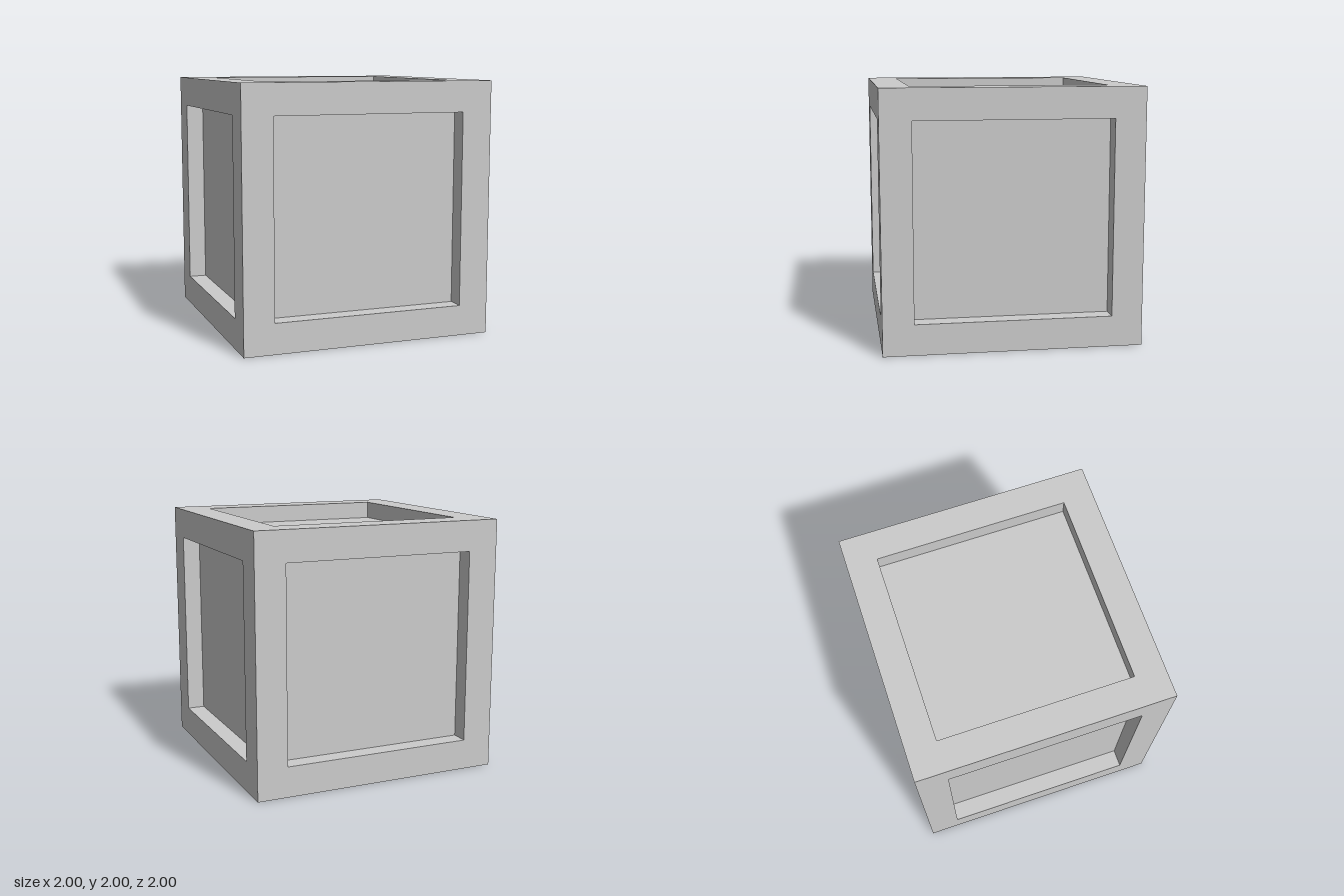
import * as THREE from 'three';
import { mergeGeometries } from 'three/addons/utils/BufferGeometryUtils.js';

const HALF = 1;        // half the cube's edge
const OPENING = 0.76;  // half the width of each recess
const DEPTH = 0.14;    // depth of each recess

function square(PathType, h) {
  return new PathType([[-h, -h], [h, -h], [h, h], [-h, h]].map(([x, y]) => new THREE.Vector2(x, y)));
}

// Square rim facing +z with four walls running in to the panel
function rimGeometry() {
  const face = square(THREE.Shape, HALF);
  face.holes.push(square(THREE.Path, OPENING));
  const parts = [new THREE.ShapeGeometry(face).translate(0, 0, HALF)];
  for (let i = 0; i < 4; i++) {
    parts.push(new THREE.PlaneGeometry(2 * OPENING, DEPTH)
      .rotateX(-Math.PI / 2)
      .translate(0, -OPENING, HALF - DEPTH / 2)
      .rotateZ(i * Math.PI / 2));
  }
  return mergeGeometries(parts);
}

export function createModel() {
  const model = new THREE.Group();
  model.name = 'framedCube';
  const material = new THREE.MeshStandardMaterial({ color: 0xcccccc });
  const rim = rimGeometry();
  const panel = new THREE.PlaneGeometry(2 * OPENING, 2 * OPENING).translate(0, 0, HALF - DEPTH);

  // The same recessed side, turned to face each of the six directions
  const q = Math.PI / 2;
  const sides = {
    front: [0, 0], left: [0, q], back: [0, 2 * q], right: [0, -q], top: [-q, 0], bottom: [q, 0],
  };
  for (const [name, [rx, ry]] of Object.entries(sides)) {
    const side = new THREE.Group();
    side.name = name + 'Side';
    for (const [part, geometry] of [['Frame', rim], ['Panel', panel]]) {
      const mesh = new THREE.Mesh(geometry, material);
      mesh.name = name + part;
      side.add(mesh);
    }
    side.rotation.set(rx, ry, 0);
    side.position.y = HALF;
    model.add(side);
  }
  return model;
}
